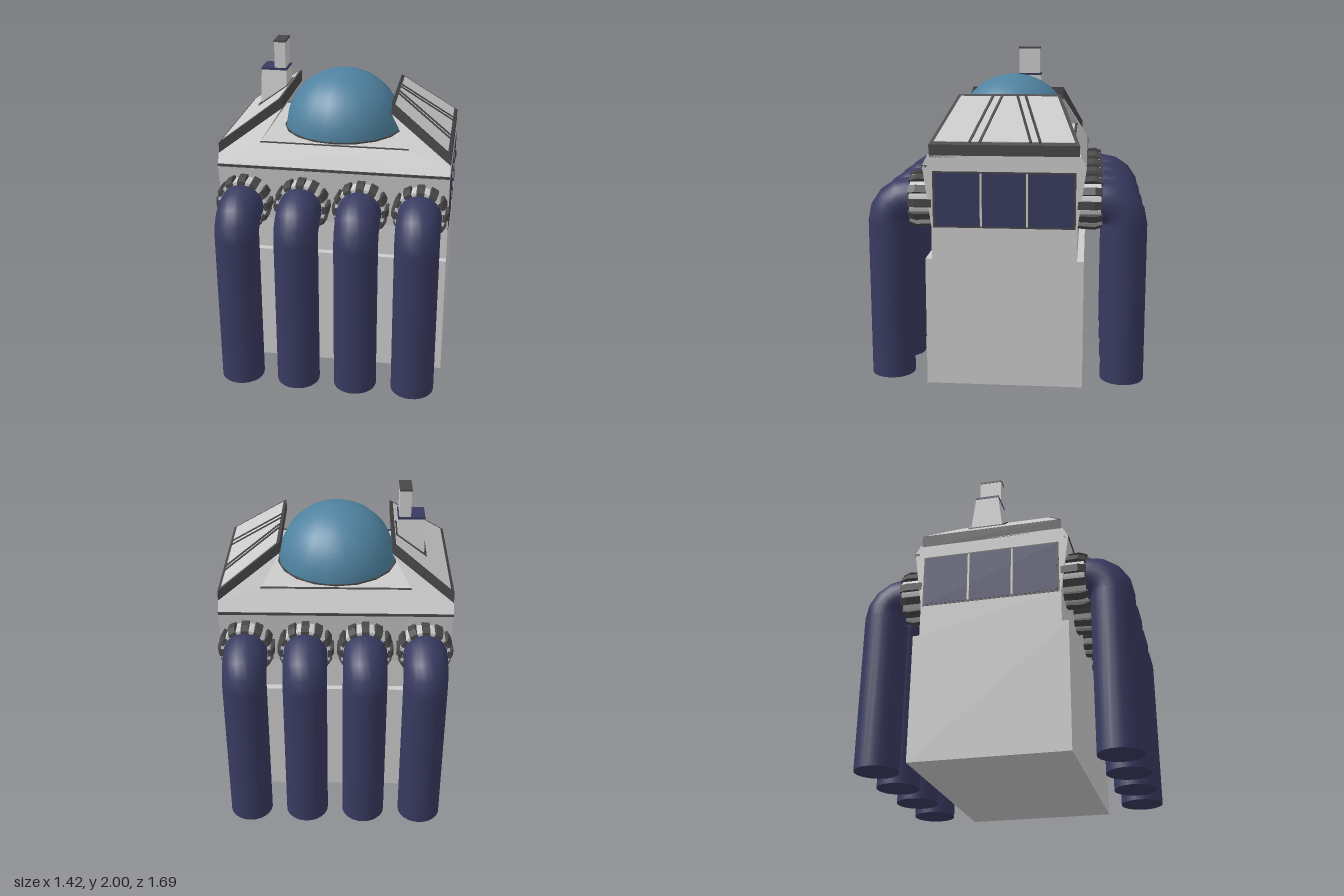
import * as THREE from 'three';

const mat = (color, side = THREE.FrontSide) => new THREE.MeshStandardMaterial({ color, side });
const grey = mat(0xcccccc);
const dark = mat(0x484848);
const navy = mat(0x383a60);
const blue = mat(0x4f82a0);

function add(parent, name, geometry, material) {
  const mesh = new THREE.Mesh(geometry, material);
  mesh.name = name;
  parent.add(mesh);
  return mesh;
}

function box(parent, name, material, [w, h, d], [x, y, z]) {
  const mesh = add(parent, name, new THREE.BoxGeometry(w, h, d), material);
  mesh.position.set(x, y, z);
  return mesh;
}

// Outline in the xy plane, extruded to both sides of z = 0 by a half depth that varies with x and y
function taperedPrism(points, halfDepth) {
  const shape = new THREE.Shape(points.map(([x, y]) => new THREE.Vector2(x, y)));
  const g = new THREE.ExtrudeGeometry(shape, { depth: 1, bevelEnabled: false });
  const p = g.attributes.position;
  for (let i = 0; i < p.count; i++) {
    const d = halfDepth(p.getX(i), p.getY(i));
    p.setZ(i, p.getZ(i) > 0.5 ? d : -d);
  }
  g.computeVertexNormals();
  return g;
}

const roofY = (x) => 1.73 - (x - 0.335) * 0.72;
const roofZ = (x) => 0.31 + (x - 0.335) * 0.35;

function makeRoof(withRibs) {
  const roof = new THREE.Group();
  // Dark slab whose edge frames the lighter panel
  const slab = (x0, x1, top, thick) => [
    [x0, roofY(x0) + top - thick], [x1, roofY(x1) + top - thick],
    [x1, roofY(x1) + top], [x0, roofY(x0) + top]];
  add(roof, 'roofTrim', taperedPrism(slab(0.335, 0.705, 0, 0.075), roofZ), dark);
  add(roof, 'roofPanel', taperedPrism(slab(0.355, 0.685, 0.004, 0.03), (x) => roofZ(x) - 0.022), grey);
  if (withRibs) {
    for (const [z0, z1] of [[0.04, 0.14], [0.095, 0.2], [-0.05, -0.155], [-0.1, -0.21]]) {
      const a = new THREE.Vector3(0.35, roofY(0.35) + 0.003, z0);
      const b = new THREE.Vector3(0.69, roofY(0.69) + 0.003, z1);
      const rib = box(roof, 'roofRib', dark, [0.014, 0.014, a.distanceTo(b)], [0, 0, 0]);
      rib.position.copy(a).lerp(b, 0.5);
      rib.lookAt(b);
    }
  }
  return roof;
}

function makeWindows() {
  const g = new THREE.Group();
  g.name = 'windows';
  box(g, 'windowFrame', dark, [0.02, 0.335, 0.84], [0.697, 1.14, 0]);
  box(g, 'windowGlass', navy, [0.02, 0.315, 0.815], [0.699, 1.14, 0]);
  for (const z of [-0.135, 0.135]) {
    box(g, 'windowBarEdge', dark, [0.02, 0.315, 0.022], [0.7, 1.14, z]);
    box(g, 'windowBar', grey, [0.022, 0.315, 0.012], [0.701, 1.14, z]);
  }
  return g;
}

function makePipe() {
  const g = new THREE.Group();
  g.name = 'pipe';
  const r = 0.133, bend = 0.135, y = 0.98, z = 0.575;
  add(g, 'pipeUpright', new THREE.CylinderGeometry(r, r, y - 0.01, 24), navy)
    .position.set(0, (y + 0.01) / 2, z + bend);
  add(g, 'pipeElbow', new THREE.TorusGeometry(bend, r, 24, 4, Math.PI / 2).rotateY(-Math.PI / 2), navy)
    .position.set(0, y, z);
  add(g, 'pipeInlet', new THREE.CylinderGeometry(r, r, 0.18, 24).rotateX(Math.PI / 2), navy)
    .position.set(0, y + bend, z - 0.09);
  // Socket with chamfered clamps around it
  const socket = new THREE.Group();
  socket.name = 'socket';
  socket.position.y = y + bend;
  g.add(socket);
  add(socket, 'socketRing', new THREE.CylinderGeometry(0.152, 0.152, 0.15, 24).rotateX(Math.PI / 2), grey)
    .position.z = 0.49;
  const clamp = taperedPrism(
    [[0.135, 0.43], [0.166, 0.43], [0.172, 0.53], [0.156, 0.575], [0.135, 0.575]],
    () => 0.023).rotateX(Math.PI / 2);
  for (let i = 0; i < 12; i++) add(socket, 'clamp', clamp, dark).rotation.z = (i * Math.PI) / 6;
  return g;
}

function makeChimney() {
  const g = new THREE.Group();
  g.name = 'chimney';
  // Flared base, seated on the sloping roof
  const flare = (extra) => (x, y) => 0.073 + extra + Math.max(0, 1.82 - y) * 0.13;
  const base = add(g, 'chimneyBase', taperedPrism(
    [[-0.535, 1.55], [-0.37, 1.66], [-0.37, 1.82], [-0.53, 1.82]], flare(0)), grey);
  const foot = add(g, 'chimneyFoot', taperedPrism(
    [[-0.55, 1.55], [-0.36, 1.68], [-0.36, 1.722], [-0.55, 1.587]], flare(0.012)), dark);
  base.position.z = foot.position.z = -0.075;
  box(g, 'chimneyBand', navy, [0.164, 0.014, 0.152], [-0.45, 1.816, -0.075]);
  box(g, 'chimneyStack', grey, [0.07, 0.18, 0.142], [-0.411, 1.9, -0.075]);
  box(g, 'chimneyCap', dark, [0.075, 0.012, 0.146], [-0.411, 1.994, -0.075]);
  return g;
}

export function createModel() {
  const model = new THREE.Group();
  model.name = 'building';

  // Lower block and flared upper storey
  box(model, 'lowerBlock', grey, [1.41, 0.78, 0.94], [0, 0.39, 0]);
  const storeyZ = (x, y) => 0.43 + Math.max(0, y - 0.98) * 0.139;
  add(model, 'upperStorey', taperedPrism(
    [[-0.705, 0.77], [0.705, 0.77], [0.705, 0.98], [-0.705, 0.98]], storeyZ), grey);
  add(model, 'upperStoreyFlare', taperedPrism(
    [[-0.705, 0.98], [0.705, 0.98], [0.705, 1.34], [-0.705, 1.34]], storeyZ), grey);

  // Gables leaning inward, with a flat deck between them
  add(model, 'gables', taperedPrism([
    [-0.705, 1.34], [0.705, 1.34], [0.705, 1.4], [0.335, 1.66], [0.455, 1.47],
    [-0.455, 1.47], [-0.335, 1.66], [-0.705, 1.4]],
  (x, y) => 0.48 - (y - 1.34) * 0.53), grey);

  for (const s of [-1, 1]) {
    box(model, 'wallBand', dark, [1.41, 0.016, 0.03], [0, 1.336, s * 0.468]);
    box(model, 'deckLip', dark, [0.91, 0.006, 0.018], [0, 1.47, s * 0.4]);
    const half = new THREE.Group();
    half.name = s > 0 ? 'leftEnd' : 'rightEnd';
    half.add(makeRoof(s > 0), makeWindows());
    if (s < 0) half.rotation.y = Math.PI;
    model.add(half);
  }

  // Dome on the deck
  add(model, 'domeRing', new THREE.CylinderGeometry(0.376, 0.376, 0.014, 18), dark).position.y = 1.472;
  add(model, 'dome', new THREE.SphereGeometry(0.37, 18, 12, 0, Math.PI * 2, 0, Math.PI / 2), blue)
    .position.y = 1.468;

  model.add(makeChimney());

  // Four pipes on the front and four on the back
  for (const s of [-1, 1]) {
    for (let i = 0; i < 4; i++) {
      const pipe = makePipe();
      pipe.position.x = -0.54 + i * 0.36;
      if (s < 0) pipe.rotation.y = Math.PI;
      model.add(pipe);
    }
  }
  return model;
}
